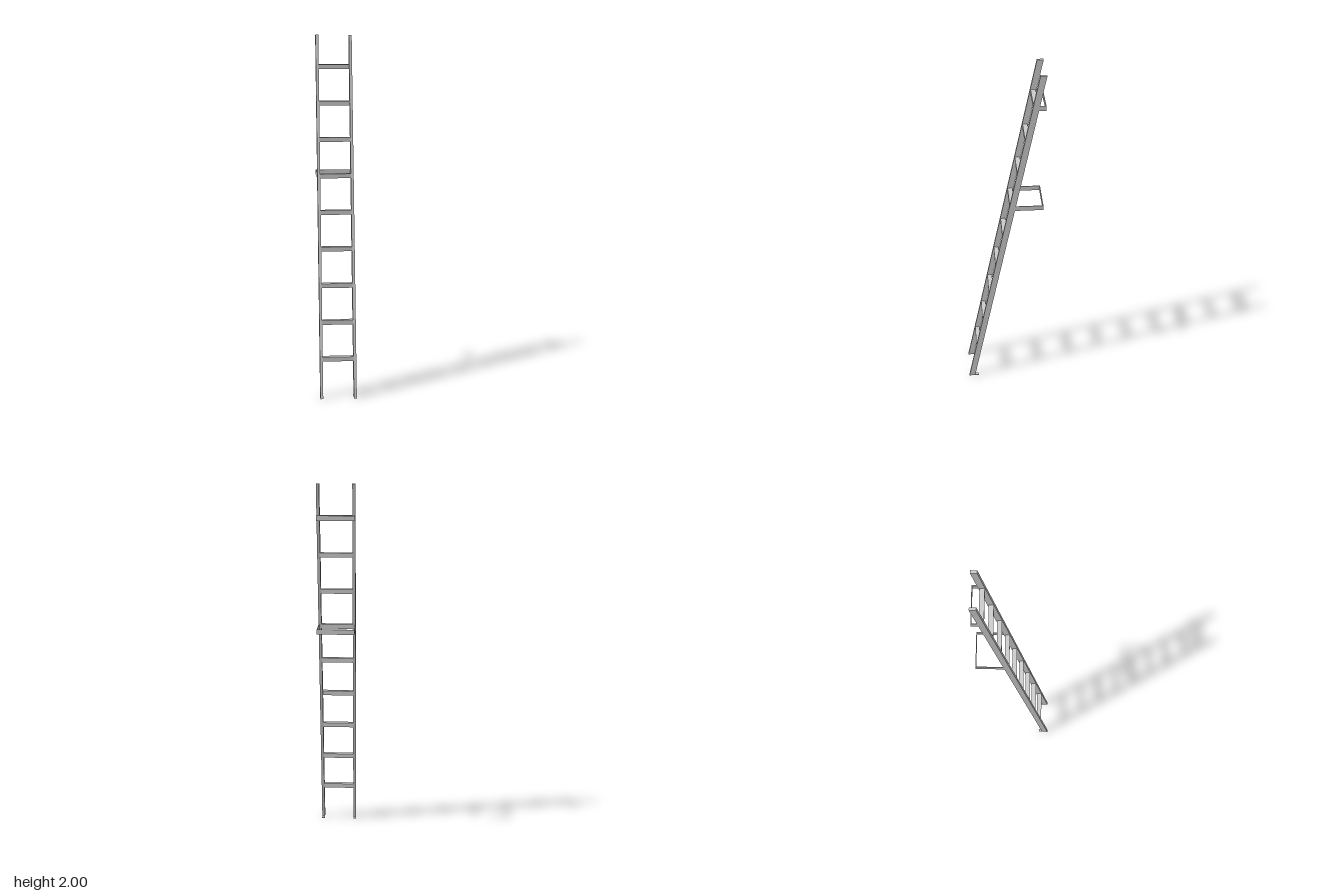
import * as THREE from 'three';

const material = new THREE.MeshStandardMaterial({ color: 0xcccccc });

// z of the ladder's centre line at height y
const leanZ = (y) => 0.195 * (1 - y);

const RAIL_OUT = 0.102, RAIL_W = 0.016, RAIL_D = 0.034;
const BACK_Z = -0.212, STRAP_T = 0.004, STRAP_H = 0.027;

export function createModel() {
  const model = new THREE.Group();
  model.name = 'ladder';

  const add = (name, geometry, x, y, z, parent = model) => {
    const mesh = new THREE.Mesh(geometry, material);
    mesh.name = name;
    mesh.position.set(x, y, z);
    parent.add(mesh);
  };
  const box = (w, h, d) => new THREE.BoxGeometry(w, h, d);

  // Side rails: boxes sheared backwards so both ends stay level
  const railGeometry = box(RAIL_W, 2, RAIL_D);
  const p = railGeometry.attributes.position;
  for (let i = 0; i < p.count; i++) p.setZ(i, p.getZ(i) + leanZ(p.getY(i) + 1));
  railGeometry.computeVertexNormals();

  for (const [side, s] of [['left', 1], ['right', -1]]) {
    const x = s * (RAIL_OUT - RAIL_W / 2);
    add(side + 'Rail', railGeometry, x, 1, 0);
    // Thin foot plate reaching behind the rail
    add(side + 'Foot', box(RAIL_W, 0.004, 0.055), x, 0.002, 0.1835);
  }

  // Level rungs between the rails
  const rungGeometry = box(2 * (RAIL_OUT - RAIL_W) + 0.004, 0.025, 0.026);
  for (let i = 0; i < 9; i++) {
    const y = 0.215 + i * 0.201;
    add('rung' + (i + 1), rungGeometry, 0, y, leanZ(y));
  }

  // Wall brackets: flat straps running back from the rails and across
  for (const [name, y] of [['lowerBracket', 1.22], ['upperBracket', 1.823]]) {
    const bracket = new THREE.Group();
    bracket.name = name;
    const startZ = leanZ(y) - 0.008;
    const length = startZ - BACK_Z;
    for (const s of [1, -1]) {
      add('sideStrap', box(STRAP_T, STRAP_H, length),
        s * (RAIL_OUT - 0.0005 - STRAP_T / 2), y, startZ - length / 2, bracket);
    }
    add('backStrap', box(2 * RAIL_OUT - 0.001, STRAP_H, STRAP_T),
      0, y, BACK_Z + STRAP_T / 2, bracket);
    // Small fixing in the middle of the back strap
    add('fixing', box(0.01, 0.01, 0.005), 0, y, BACK_Z + 0.003, bracket);
    model.add(bracket);
  }

  return model;
}
